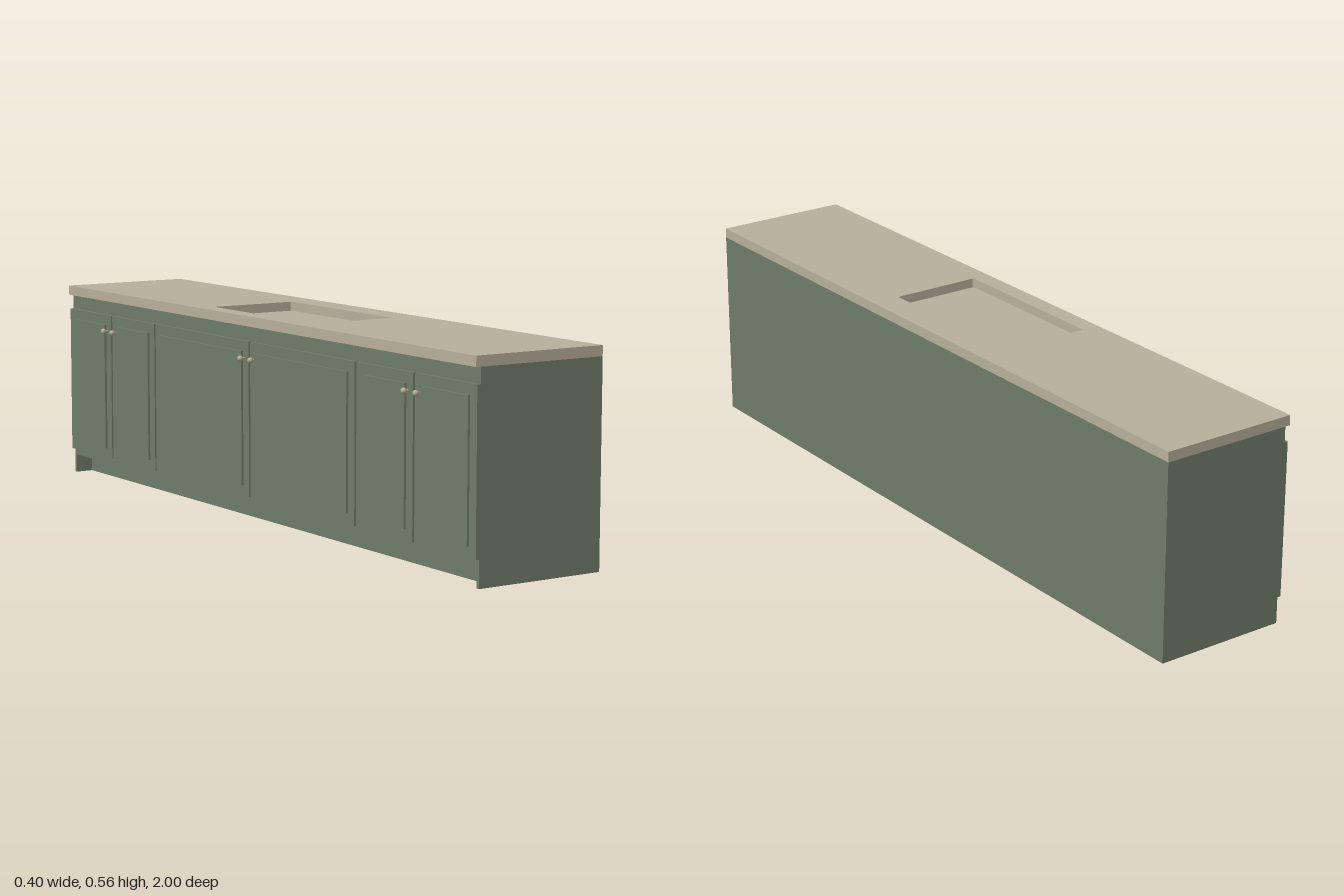
import * as THREE from 'three';

const green = new THREE.MeshStandardMaterial({ color: 0x6f7d69 });
green.name = 'sage green paint';
const stone = new THREE.MeshStandardMaterial({ color: 0xb8af9c });
stone.name = 'beige stone';
const metal = new THREE.MeshStandardMaterial({ color: 0xb5a593 });
metal.name = 'warm metal';

// box given by its lower and upper limits on each axis
function slab(name, material, [x0, x1], [y0, y1], [z0, z1]) {
  const mesh = new THREE.Mesh(new THREE.BoxGeometry(x1 - x0, y1 - y0, z1 - z0), material);
  mesh.position.set((x0 + x1) / 2, (y0 + y1) / 2, (z0 + z1) / 2);
  mesh.name = name;
  return mesh;
}

// rectangle with small rounded corners, used for the sink cut-out
function roundedOutline(path, x0, x1, y0, y1, r) {
  path.moveTo(x0 + r, y0);
  path.absarc(x1 - r, y0 + r, r, -Math.PI / 2, 0);
  path.absarc(x1 - r, y1 - r, r, 0, Math.PI / 2);
  path.absarc(x0 + r, y1 - r, r, Math.PI / 2, Math.PI);
  path.absarc(x0 + r, y0 + r, r, Math.PI, Math.PI * 1.5);
  return path;
}

function createCarcass() {
  const group = new THREE.Group();
  group.name = 'carcass';
  // side profile with the toe-kick recess under the doors
  const profile = new THREE.Shape([
    [-0.118, 0], [0.197, 0], [0.197, 0.529], [-0.168, 0.529], [-0.168, 0.052], [-0.118, 0.052],
  ].map(([x, y]) => new THREE.Vector2(x, y)));
  const geometry = new THREE.ExtrudeGeometry(profile, { depth: 1.98, bevelEnabled: false });
  geometry.translate(0, 0, -0.99);
  const body = new THREE.Mesh(geometry, green);
  body.name = 'cabinetBody';
  group.add(body);
  // end panels reach the floor at the front
  for (const [z0, z1] of [[-1, -0.99], [0.99, 1]]) {
    group.add(slab('endPanel', green, [-0.168, 0.197], [0, 0.529], [z0, z1]));
  }
  return group;
}

function createCountertop() {
  const group = new THREE.Group();
  group.name = 'countertop';
  // drawn flat in x and -z, then laid down
  const shape = new THREE.Shape([
    [-0.182, -1], [0.197, -1], [0.197, 1], [-0.182, 1],
  ].map(([x, y]) => new THREE.Vector2(x, y)));
  shape.holes.push(roundedOutline(new THREE.Path(), -0.133, 0.117, -0.234, 0.254, 0.006));
  const geometry = new THREE.ExtrudeGeometry(shape, { depth: 0.027, bevelEnabled: false, curveSegments: 4 });
  geometry.rotateX(-Math.PI / 2);
  geometry.translate(0, 0.529, 0);
  const top = new THREE.Mesh(geometry, stone);
  top.name = 'worktop';
  group.add(top, slab('sinkFloor', stone, [-0.14, 0.124], [0.524, 0.531], [-0.261, 0.241]));
  return group;
}

// door with a raised centre panel and a knob; side is the knob's edge (+1 or -1 in z)
function createDoor(z0, z1, side) {
  const group = new THREE.Group();
  group.name = 'door';
  const inset = 0.028;
  group.add(slab('doorFrame', green, [-0.178, -0.168], [0.071, 0.488], [z0, z1]));
  group.add(slab('doorPanel', green, [-0.184, -0.178], [0.099, 0.46], [z0 + inset, z1 - inset]));

  const knobZ = side > 0 ? z1 - 0.021 : z0 + 0.021;
  const knob = new THREE.Mesh(new THREE.SphereGeometry(0.008, 20, 14), metal);
  knob.name = 'knob';
  knob.position.set(-0.191, 0.442, knobZ);
  const stem = new THREE.Mesh(new THREE.CylinderGeometry(0.003, 0.003, 0.012, 12), metal);
  stem.name = 'knobStem';
  stem.rotation.z = Math.PI / 2;
  stem.position.set(-0.183, 0.442, knobZ);
  group.add(knob, stem);
  return group;
}

export function createModel() {
  const model = new THREE.Group();
  model.name = 'kitchenCabinet';
  model.add(createCarcass(), createCountertop());

  // three pairs of doors, knobs meeting at the middle of each pair
  const edges = [-1, -0.752, -0.503, -0.004, 0.495, 0.746, 1];
  for (let i = 0; i < 6; i++) {
    const start = i === 0 ? edges[i] : edges[i] + 0.004;
    const end = i === 5 ? edges[i + 1] : edges[i + 1] - 0.004;
    model.add(createDoor(start, end, i % 2 === 0 ? 1 : -1));
  }
  return model;
}
